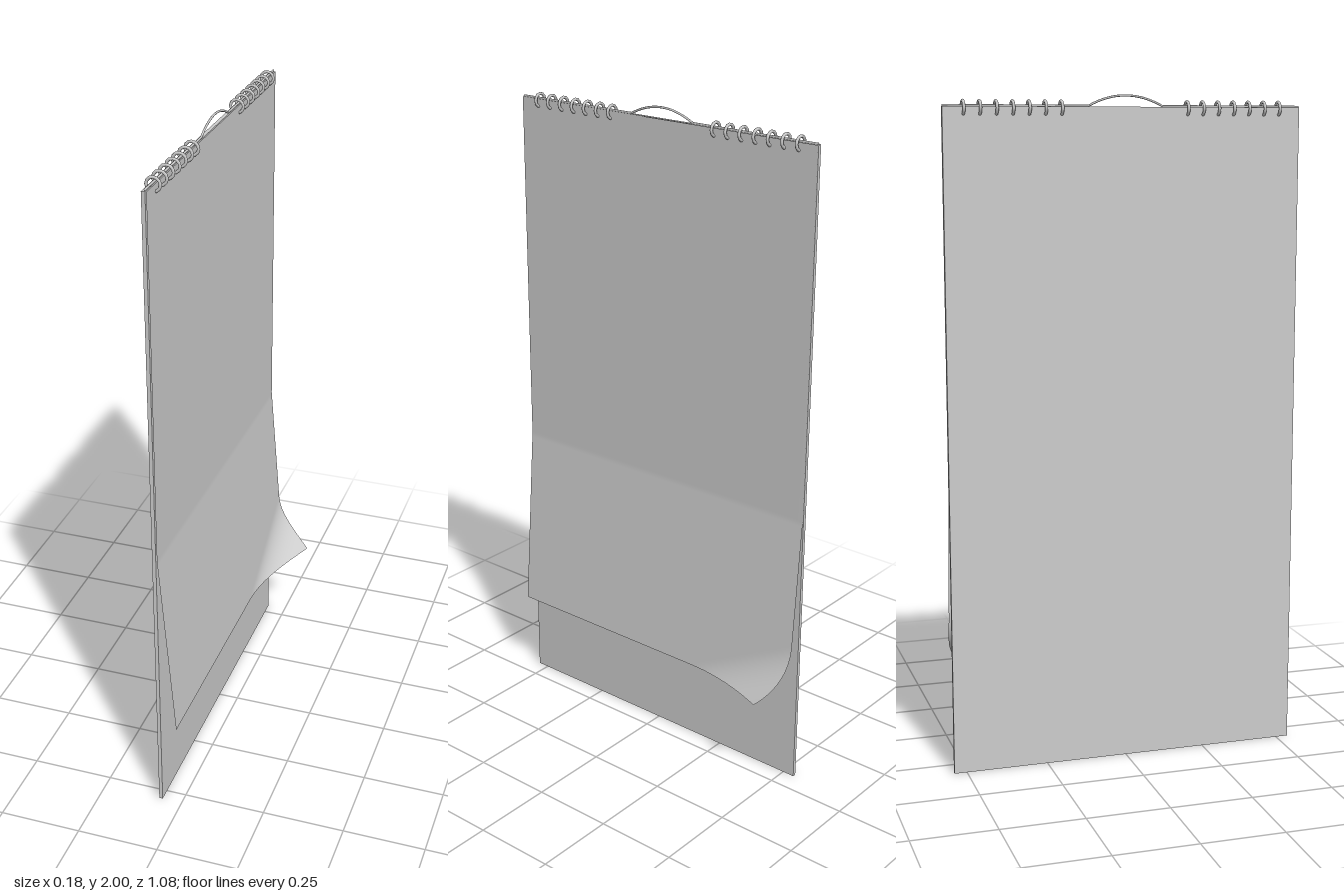
import * as THREE from 'three';

const W = 1.076, TOP = 1.965, X = -0.067;

const material = (side = THREE.FrontSide) =>
  new THREE.MeshStandardMaterial({ color: 0xcccccc, roughness: 0.8, side });

function add(parent, name, geometry, mat) {
  const mesh = new THREE.Mesh(geometry, mat);
  mesh.name = name;
  parent.add(mesh);
  return mesh;
}

// Front sheet: flat above, leaning outwards below, with one curled lower corner
function sheetGeometry() {
  const rows = 40, bend = 0.87, bottom = 0.28, R = 0.112;
  const geo = new THREE.PlaneGeometry(W, 1, 60, rows);
  const p = geo.attributes.position;
  for (let i = 0; i < p.count; i++) {
    const row = Math.round((0.5 - p.getY(i)) * rows);
    let z = -p.getX(i);
    let y = row === 0 ? TOP : bend - (bend - bottom) * (row - 1) / (rows - 1);
    let x = -0.058 + 0.046 * Math.max(0, (bend - y) / (bend - bottom));
    // distance past the diagonal line where the curl begins
    const d = -0.457 * (z + 0.17) - 0.89 * (y - bottom);
    if (d > 0) {
      const a = d / R, shift = d - R * Math.sin(a);
      x += R * (1 - Math.cos(a));
      z += 0.86 * shift;
      y += 0.51 * shift;
    }
    p.setXYZ(i, x, y, z);
  }
  geo.computeVertexNormals();
  return geo;
}

// Wire running along the top edge with a raised hanger arch in the middle
function hangerGeometry() {
  const path = new THREE.CurvePath();
  const v = (y, z) => new THREE.Vector3(X + 0.002, y, z);
  const arch = [];
  for (let i = 0; i <= 12; i++) {
    const t = i / 6 - 1;
    arch.push(v(1.967 + 0.030 * (1 - t * t), t * 0.112));
  }
  path.add(new THREE.LineCurve3(v(1.967, -W / 2), arch[0]));
  path.add(new THREE.CatmullRomCurve3(arch));
  path.add(new THREE.LineCurve3(arch[12], v(1.967, W / 2)));
  return new THREE.TubeGeometry(path, 120, 0.0032, 8, false);
}

export function createModel() {
  const group = new THREE.Group();
  group.name = 'wallCalendar';
  const mat = material();

  // Backing board
  add(group, 'backBoard', new THREE.BoxGeometry(0.011, TOP, W), mat)
    .position.set(X, TOP / 2, 0);

  add(group, 'frontSheet', sheetGeometry(), material(THREE.DoubleSide));
  add(group, 'hangerWire', hangerGeometry(), mat);

  // Two rows of seven binding rings
  const rings = new THREE.Group();
  rings.name = 'bindingRings';
  const ring = new THREE.TorusGeometry(0.0195, 0.0045, 8, 12);
  for (const start of [-0.478, 0.187])
    for (let i = 0; i < 7; i++)
      add(rings, 'ring', ring, mat).position.set(X + 0.002, 1.961, start + i * 0.0476);
  group.add(rings);

  return group;
}
